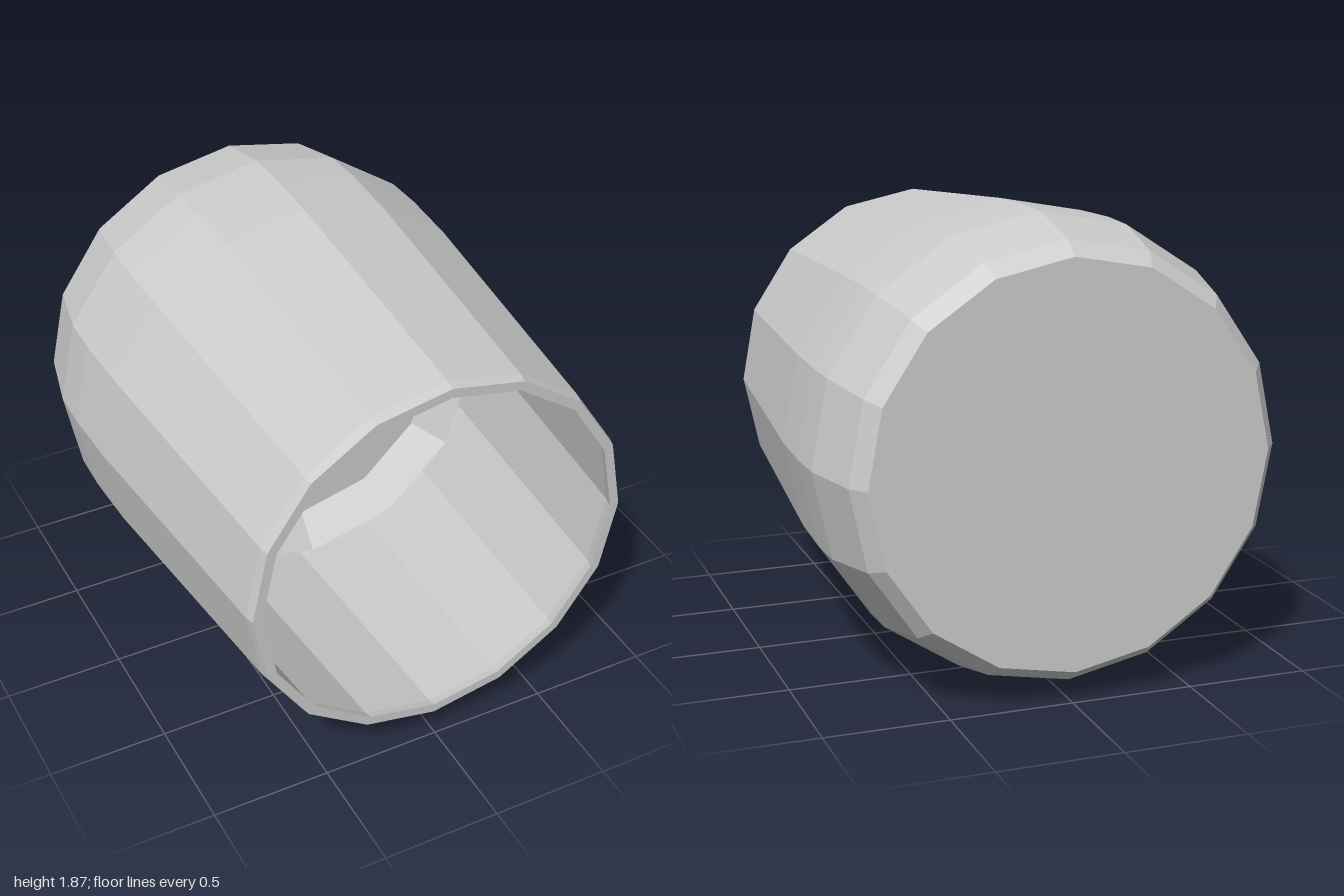
import * as THREE from 'three';

const CENTRE_Y = 0.935;

// Turns [radius, z] points around the z axis
function turned(name, points, sides, twist) {
  const geometry = new THREE.LatheGeometry(points.map(([r, z]) => new THREE.Vector2(r, z)), sides);
  geometry.rotateX(Math.PI / 2);
  geometry.rotateZ(twist);
  const mesh = new THREE.Mesh(geometry, new THREE.MeshStandardMaterial({
    color: 0xcccccc, flatShading: true, side: THREE.DoubleSide,
  }));
  mesh.name = name;
  mesh.position.y = CENTRE_Y;
  return mesh;
}

export function createModel() {
  const group = new THREE.Group();
  group.name = 'cup';

  // Barrel-shaped shell lying on its side: closed back, outer wall, rim, inner wall, inner back
  const outer = [[0.81, -1], [0.865, -0.93], [0.93, -0.65], [0.935, -0.47], [0.925, -0.2], [0.82, 0.96]];
  const inner = outer.slice(1).reverse().map(([r, z]) => [r - 0.04, z]);
  const shell = [[0, -1], ...outer, [0.81, 1], [0.77, 1], ...inner, [0, -0.93]];
  group.add(turned('shell', shell, 16, -0.012));

  // Shallow twelve-sided dish set inside the opening
  const dish = turned('innerDish', [[0.765, -0.08], [0.635, -0.2], [0, -0.2]], 12, -0.012);
  dish.position.x = -0.01;
  dish.position.y += 0.008;
  group.add(dish);

  return group;
}
